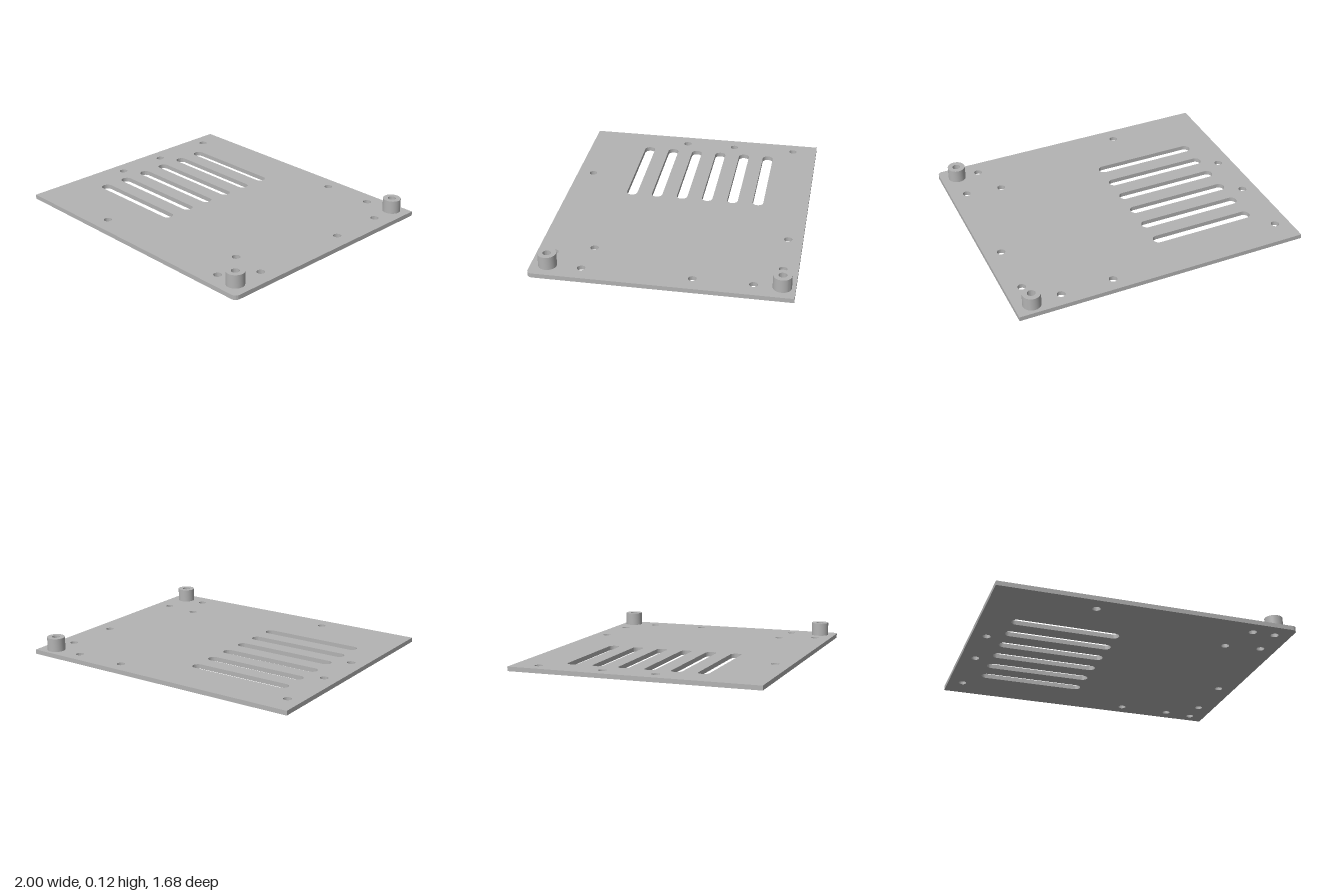
import * as THREE from 'three';
import { toCreasedNormals } from 'three/addons/utils/BufferGeometryUtils.js';

const HALF_X = 1, HALF_Z = 0.842, THICK = 0.03, TOP = 0.12;
const HOLE_R = 0.027, BOSS_R = 0.06, SLOT_R = 0.037, CORNER_R = 0.035;

// Shapes are drawn in (x, -z) and laid flat so the extrusion rises along y
function extrudeUp(shape, bottom, height) {
  const geometry = new THREE.ExtrudeGeometry(shape, { depth: height, bevelEnabled: false, curveSegments: 16 });
  geometry.rotateX(-Math.PI / 2);
  geometry.translate(0, bottom, 0);
  return toCreasedNormals(geometry, 0.6);
}

const circle = (x, z, r) => new THREE.Path().absarc(x, -z, r, 0, Math.PI * 2, true);

// Slot with round ends, running along x
function slot(x0, x1, z, r) {
  const path = new THREE.Path();
  path.absarc(x1 - r, -z, r, -Math.PI / 2, Math.PI / 2, false);
  path.absarc(x0 + r, -z, r, Math.PI / 2, Math.PI * 1.5, false);
  path.closePath();
  return path;
}

export function createModel() {
  const model = new THREE.Group();
  model.name = 'ventedMountingPlate';
  const metal = new THREE.MeshStandardMaterial({ color: 0xb3b3b3 });
  metal.name = 'grey metal';

  const bosses = [[0.887, -0.758], [0.887, 0.733]];
  const holes = [
    [-0.9, -0.67], [-0.9, -0.227], [-0.9, 0.13],
    [0.332, -0.745], [0.687, -0.745],
    [0.887, -0.58], [0.887, -0.197], [0.887, 0.515],
    [0.643, 0.486], [0.732, 0.731], [-0.334, 0.731],
  ];

  // Plate outline with one rounded front corner
  const outline = new THREE.Shape();
  outline.moveTo(-HALF_X, -HALF_Z);
  outline.lineTo(HALF_X - CORNER_R, -HALF_Z);
  outline.absarc(HALF_X - CORNER_R, -HALF_Z + CORNER_R, CORNER_R, -Math.PI / 2, 0, false);
  outline.lineTo(HALF_X, HALF_Z);
  outline.lineTo(-HALF_X, HALF_Z);
  outline.closePath();

  // Screw holes and ventilation slots
  for (const [x, z] of [...holes, ...bosses]) outline.holes.push(circle(x, z, HOLE_R));
  for (let i = 0; i < 6; i++) outline.holes.push(slot(-0.797, -0.073, -0.495 + i * 0.178, SLOT_R));

  const plate = new THREE.Mesh(extrudeUp(outline, 0, THICK), metal);
  plate.name = 'plate';
  model.add(plate);

  // Hollow standoffs over the two corner holes
  bosses.forEach(([x, z], i) => {
    const ring = new THREE.Shape().absarc(x, -z, BOSS_R, 0, Math.PI * 2, false);
    ring.holes.push(circle(x, z, HOLE_R));
    const boss = new THREE.Mesh(extrudeUp(ring, THICK, TOP - THICK), metal);
    boss.name = i ? 'frontStandoff' : 'backStandoff';
    model.add(boss);
  });

  return model;
}
